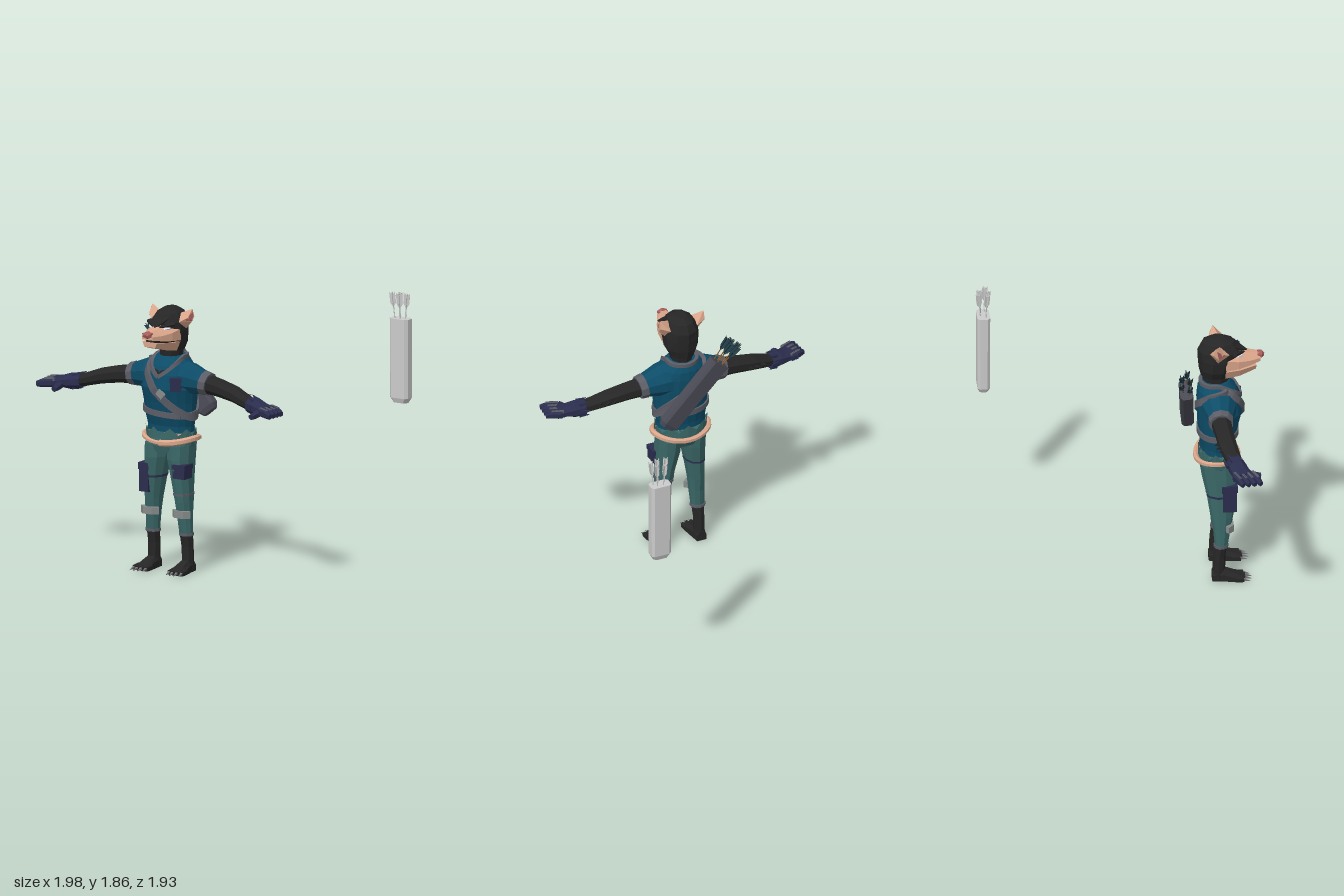
import * as THREE from 'three';

const V = (x, y, z) => new THREE.Vector3(x, y, z);
const C = { shirt: 0x0d4c68, trousers: 0x3b6868, black: 0x262626, navy: 0x2b2d4e, skin: 0xd9a58a,
  grey: 0x5c5d66, nose: 0xa85c5c, white: 0xe8e4f0, wood: 0x8a5c2c, feather: 0x1d3a46, plain: 0xcccccc,
  pad: 0x858a88, quiver: 0x4a4a55, claw: 0x77777a };

function add(parent, name, geo, color) {
  const mat = new THREE.MeshStandardMaterial({ color, flatShading: true, side: THREE.DoubleSide });
  const mesh = new THREE.Mesh(geo, mat);
  mesh.name = name;
  parent.add(mesh);
  return mesh;
}
// Skin a list of equal-sized rings, counter-clockwise about the direction of travel
function loft(rings, { caps = true, closed = false } = {}) {
  const n = rings[0].length, pos = [], m = rings.length;
  const tri = (...p) => p.forEach(q => pos.push(q.x, q.y, q.z));
  for (let k = 0; k < (closed ? m : m - 1); k++) {
    const a = rings[k], b = rings[(k + 1) % m];
    for (let i = 0; i < n; i++) {
      const j = (i + 1) % n;
      tri(a[i], a[j], b[j]);
      tri(a[i], b[j], b[i]);
    }
  }
  if (caps && !closed) for (let i = 1; i < n - 1; i++) {
    tri(rings[0][0], rings[0][i + 1], rings[0][i]);
    tri(rings[m - 1][0], rings[m - 1][i], rings[m - 1][i + 1]);
  }
  const g = new THREE.BufferGeometry();
  g.setAttribute('position', new THREE.Float32BufferAttribute(pos, 3));
  g.computeVertexNormals();
  return g;
}
// Horizontal ellipse rings from rows [y, centreX, halfWidth, centreZ, halfDepth]
const ellipse = (n, [y, cx, w, cz, d]) => Array.from({ length: n }, (_, i) => {
  const a = i / n * Math.PI * 2;
  return V(cx + w * Math.sin(a), y, cz + d * Math.cos(a));
});
const stack = (rows, n = 10) => loft(rows.map(r => ellipse(n, r)));
// Tapered limb along points [x, y, z, sideRadius, verticalRadius]
function limb(pts, n = 8) {
  const p = pts.map(q => V(q[0], q[1], q[2]));
  return loft(pts.map((q, k) => {
    const t = p[Math.min(k + 1, p.length - 1)].clone().sub(p[Math.max(k - 1, 0)]).normalize();
    const u = (Math.abs(t.y) > 0.9 ? V(0, 0, 1) : V(0, 1, 0)).cross(t).normalize(), v = t.clone().cross(u);
    return Array.from({ length: n }, (_, i) => {
      const a = (i + 0.5) / n * Math.PI * 2;
      return p[k].clone().addScaledVector(u, q[3] * Math.cos(a)).addScaledVector(v, (q[4] ?? q[3]) * Math.sin(a));
    });
  }));
}
const spike = (a, b, r) => limb([[...a, r], [...b, 0.001]], 4);
const box = (w, h, d, x, y, z) => new THREE.BoxGeometry(w, h, d).translate(x, y, z);

// Torso rows: y, centreX, halfWidth, centreZ, halfDepth
const TORSO = [[1.03, 0, 0.18, 0.645, 0.115], [1.1, 0, 0.193, 0.65, 0.13], [1.2, 0, 0.2, 0.655, 0.145],
  [1.3, 0, 0.212, 0.665, 0.16], [1.4, 0, 0.2, 0.655, 0.152], [1.46, 0, 0.165, 0.645, 0.135], [1.52, 0, 0.1, 0.635, 0.1]];
function onTorso(a, y) {
  let k = 0;
  while (k < TORSO.length - 2 && y > TORSO[k + 1][0]) k++;
  const A = TORSO[k], B = TORSO[k + 1], f = THREE.MathUtils.clamp((y - A[0]) / (B[0] - A[0]), 0, 1);
  const [, , w, z, d] = A.map((q, i) => q + (B[i] - q) * f);
  return { p: V(w * Math.sin(a), y, z + d * Math.cos(a)), n: V(Math.sin(a) / w, 0, Math.cos(a) / d).normalize() };
}
// Flat band following the torso through [angle, y] points
function band(pts, half, lift = 0.012, count = 40) {
  const path = new THREE.CatmullRomCurve3(pts.map(([a, y]) => V(a, y, 0))).getPoints(count);
  const s = path.map(q => onTorso(q.x, q.y));
  return loft(s.map(({ p, n }, k) => {
    const t = s[Math.min(k + 1, count)].p.clone().sub(s[Math.max(k - 1, 0)].p).normalize();
    const v = t.cross(n).normalize();
    return [[1, -1], [1, 1], [-1, 1], [-1, -1]].map(([i, j]) =>
      p.clone().addScaledVector(n, i * lift).addScaledVector(v, j * half));
  }));
}

function makeQuiver(name, body, shaft, feather) {
  const g = new THREE.Group();
  g.name = name;
  const oct = (y, w, d, c = 0.018) => [[w - c, d], [w, d - c], [w, c - d], [w - c, -d], [c - w, -d], [-w, c - d], [-w, d - c], [c - w, d]]
    .map(([x, z]) => V(x, y, z));
  add(g, 'quiverBody', loft([oct(0, 0.055, 0.03), oct(0.035, 0.073, 0.043), oct(0.595, 0.075, 0.045)]), body);
  // Arrows fanning out of the top
  [[-0.045, 0.015], [-0.02, -0.02], [0.005, 0.02], [0.028, -0.015], [0.05, 0.01]].forEach(([x, z], i) => {
    const arrow = new THREE.Group();
    arrow.name = 'arrow';
    add(arrow, 'arrowShaft', new THREE.CylinderGeometry(0.004, 0.004, 0.2, 5).translate(0, 0.08, 0), shaft);
    const vane = new THREE.Shape([[-0.004, 0.08], [0.004, 0.08], [0.02, 0.11], [0.02, 0.185], [0, 0.165], [-0.02, 0.185], [-0.02, 0.11]]
      .map(([a, b]) => new THREE.Vector2(a, b)));
    for (const r of [0.4, 0.4 + Math.PI / 2])
      add(arrow, 'fletching', new THREE.ExtrudeGeometry(vane, { depth: 0.004, bevelEnabled: false }).translate(0, 0, -0.002).rotateY(r), feather);
    arrow.position.set(x * 0.9, 0.595 - 0.008 * (i % 2), z);
    arrow.rotation.set(z * 4, 0, -x * 2);
    g.add(arrow);
  });
  return g;
}

function makeArm() {
  const g = new THREE.Group();
  add(g, 'sleeve', limb([[0.08, 1.37, 0.65, 0.13, 0.125], [0.16, 1.365, 0.65, 0.12, 0.115], [0.24, 1.355, 0.65, 0.095, 0.092], [0.31, 1.345, 0.65, 0.078, 0.076]], 10), C.shirt);
  add(g, 'sleeveCuff', limb([[0.275, 1.35, 0.65, 0.09, 0.088], [0.325, 1.343, 0.65, 0.084, 0.08]], 10), C.grey);
  add(g, 'arm', limb([[0.3, 1.345, 0.65, 0.072, 0.068], [0.42, 1.33, 0.66, 0.066, 0.062], [0.55, 1.305, 0.675, 0.065, 0.056], [0.66, 1.272, 0.7, 0.058, 0.047], [0.76, 1.25, 0.725, 0.05, 0.04]]), C.black);
  for (const [x, z] of [[0.5, 0.615], [0.55, 0.62], [0.6, 0.635]])
    add(g, 'elbowTuft', spike([x, 1.3, z + 0.01], [x + 0.04, 1.3, z - 0.03], 0.016), C.black);
  // Gauntlet with a ragged cuff
  add(g, 'gauntlet', limb([[0.7, 1.255, 0.71, 0.06, 0.055], [0.77, 1.25, 0.725, 0.066, 0.058], [0.83, 1.245, 0.742, 0.068, 0.042], [0.89, 1.24, 0.762, 0.088, 0.036]]), C.navy);
  for (let i = 0; i < 6; i++) {
    const a = i / 6 * Math.PI * 2, c = Math.cos(a), s = Math.sin(a);
    add(g, 'gauntletSpike', spike([0.75, 1.25 + 0.045 * s, 0.72 + 0.055 * c], [0.685, 1.265 + 0.06 * s, 0.695 + 0.065 * c], 0.02), C.navy);
  }
  for (let i = 0; i < 4; i++) {
    const x = 0.875 - i * 0.004, z = 0.7 + i * 0.041, y = 1.243;
    add(g, 'finger', limb([[x, y, z, 0.025, 0.032], [x + 0.06, y - 0.002, z + 0.027, 0.025, 0.032], [x + 0.105, y - 0.012, z + 0.048, 0.016, 0.02]], 6), C.navy);
    add(g, 'fingerPlate', limb([[x - 0.01, y + 0.024, z - 0.004, 0.011, 0.012], [x + 0.07, y + 0.02, z + 0.032, 0.011, 0.012]], 4), C.grey);
  }
  add(g, 'thumb', limb([[0.83, 1.235, 0.77, 0.035, 0.032], [0.82, 1.22, 0.83, 0.028, 0.028], [0.815, 1.212, 0.88, 0.022, 0.02]], 6), C.navy);
  return g;
}

function makeLeg() {
  const g = new THREE.Group();
  add(g, 'trouserLeg', stack([[0.27, 0.137, 0.05, 0.665, 0.046], [0.4, 0.13, 0.056, 0.67, 0.062], [0.5, 0.125, 0.06, 0.67, 0.08],
    [0.65, 0.111, 0.072, 0.668, 0.1], [0.8, 0.095, 0.088, 0.66, 0.125], [0.9, 0.092, 0.09, 0.65, 0.132]]), C.trousers);
  add(g, 'shinBand', stack([[0.258, 0.137, 0.055, 0.663, 0.052], [0.278, 0.137, 0.055, 0.663, 0.052]]), C.grey);
  add(g, 'boot', stack([[0.01, 0.14, 0.045, 0.645, 0.045], [0.08, 0.14, 0.041, 0.647, 0.045], [0.18, 0.138, 0.042, 0.65, 0.044], [0.27, 0.136, 0.048, 0.662, 0.045]], 8), C.black);
  add(g, 'kneePad', limb([[0.07, 0.415, 0.7, 0.03, 0.035], [0.1, 0.415, 0.73, 0.03, 0.037], [0.16, 0.415, 0.73, 0.03, 0.037], [0.188, 0.415, 0.7, 0.03, 0.035]], 4), C.pad);
  const foot = [[0.6, 0.14, 0.035, 0.07], [0.68, 0.14, 0.045, 0.085], [0.77, 0.145, 0.06, 0.05], [0.82, 0.145, 0.062, 0.03]];
  add(g, 'foot', loft(foot.map(([z, x, w, h]) => [[w, 0], [w, h * 0.6], [w * 0.5, h], [-w * 0.5, h], [-w, h * 0.6], [-w, 0]]
    .map(([a, y]) => V(x + a, y, z)))), C.black);
  for (let i = 0; i < 4; i++) {
    const x = 0.095 + i * 0.034, z = 0.825 - Math.abs(i - 1.4) * 0.012;
    add(g, 'toe', limb([[x, 0.022, z - 0.05, 0.018, 0.02], [x, 0.018, z + 0.01, 0.015, 0.017]], 6), C.black);
    add(g, 'claw', spike([x, 0.02, z], [x + 0.004, 0.006, z + 0.055], 0.013), C.claw);
  }
  return g;
}

function makeHead() {
  const g = new THREE.Group();
  g.name = 'head';
  add(g, 'neck', stack([[1.42, 0, 0.09, 0.645, 0.1], [1.52, 0, 0.078, 0.64, 0.09], [1.6, 0, 0.09, 0.635, 0.1]]), C.black);
  add(g, 'hood', stack([[1.56, 0, 0.088, 0.635, 0.1], [1.62, 0, 0.118, 0.645, 0.125], [1.7, 0, 0.127, 0.655, 0.142],
    [1.765, 0, 0.122, 0.662, 0.152], [1.825, 0, 0.09, 0.655, 0.115], [1.858, 0, 0.04, 0.65, 0.05]]), C.black);
  // Muzzle rows: z, halfWidth, lower y, shoulder y, top y
  const upper = [[0.7, 0.115, 1.64, 1.72, 1.765], [0.79, 0.105, 1.648, 1.705, 1.755], [0.87, 0.075, 1.658, 1.695, 1.735], [0.945, 0.042, 1.672, 1.695, 1.725]];
  add(g, 'upperMuzzle', loft(upper.map(([z, w, b, m, t]) =>
    [[w, b], [w, m], [w * 0.35, t], [-w * 0.35, t], [-w, m], [-w, b]].map(([x, y]) => V(x, y, z)))), C.skin);
  const jaw = (rows) => loft(rows.map(([z, w, b, t]) => [[w * 0.75, b], [w, t], [-w, t], [-w * 0.75, b]].map(([x, y]) => V(x, y, z))));
  add(g, 'lowerJaw', jaw([[0.7, 0.112, 1.565, 1.63], [0.8, 0.1, 1.58, 1.636], [0.915, 0.06, 1.615, 1.65]]), C.skin);
  add(g, 'mouth', jaw([[0.7, 0.105, 1.6, 1.66], [0.8, 0.092, 1.61, 1.666], [0.905, 0.045, 1.64, 1.68]]), C.black);
  add(g, 'nose', limb([[0, 1.708, 0.925, 0.038, 0.024], [0, 1.706, 0.955, 0.04, 0.026], [0, 1.7, 0.97, 0.018, 0.014]], 6), C.nose);
  add(g, 'foreheadPeak', limb([[0, 1.79, 0.76, 0.07, 0.025], [0, 1.765, 0.81, 0.04, 0.014], [0, 1.745, 0.855, 0.004, 0.004]], 6), C.black);
  for (const s of [1, -1]) {
    add(g, 'eye', limb([[s * 0.032, 1.722, 0.818, 0.012, 0.009], [s * 0.058, 1.73, 0.808, 0.013, 0.014], [s * 0.088, 1.737, 0.785, 0.006, 0.006]], 5), C.white);
    add(g, 'brow', limb([[s * 0.02, 1.742, 0.83, 0.012, 0.008], [s * 0.1, 1.765, 0.76, 0.025, 0.016]], 5), C.black);
    // Pointed ear with a coloured inner face
    const rim = [V(0.09, 1.825, 0.66), V(0.115, 1.77, 0.725), V(0.125, 1.715, 0.645), V(0.1, 1.775, 0.59)];
    const out = [V(0.165, 1.855, 0.63), V(0.16, 1.8, 0.68), V(0.168, 1.765, 0.645), V(0.168, 1.8, 0.61)];
    const flip = r => r.map(p => V(p.x * s, p.y, p.z));
    add(g, 'ear', loft([flip(rim), flip(out)]), C.skin);
    add(g, 'innerEar', loft([flip([V(0.171, 1.835, 0.635), V(0.146, 1.785, 0.694), V(0.174, 1.772, 0.645)]),
      flip([V(0.174, 1.832, 0.635), V(0.15, 1.787, 0.694), V(0.176, 1.775, 0.645)])]), C.nose);
  }
  return g;
}

export function createModel() {
  const model = new THREE.Group();
  // Shirt over trousers, both with ragged edges
  const hem = ellipse(18, [0.99, 0, 0.18, 0.645, 0.115]);
  add(model, 'shirt', loft([hem, ...TORSO.map(r => ellipse(18, r))]), C.shirt);
  const waist = ellipse(18, [1, 0, 0.196, 0.645, 0.128]).map((p, i) => p.setY(i % 2 ? 1.02 : 0.97));
  add(model, 'trouserWaist', loft([ellipse(18, [0.84, 0, 0.14, 0.655, 0.115]), ellipse(18, [0.89, 0, 0.182, 0.65, 0.134]),
    ellipse(18, [0.94, 0, 0.188, 0.645, 0.13]), waist], { caps: false }), C.trousers);
  // Tail wound round the hips as a belt
  const tail = Array.from({ length: 33 }, (_, i) => {
    const a = i / 32 * Math.PI * 2, r = 0.024 - 0.008 * i / 32;
    return [0.205 * Math.sin(a), 0.915 + 0.035 * Math.sin(a) ** 2, 0.645 + 0.145 * Math.cos(a), r, r];
  });
  add(model, 'tailBelt', limb(tail, 6), C.skin);

  // Neckline, collar and straps
  const neckline = [1.39, 1.43, 1.47, 1.51].map((y, k) => [0.01, 0.32, 0.65, 1.1].map((a, i, all) => all[k]).slice(0, 2)
    .map((a, i) => onTorso(i ? a : -a, y)).flatMap(({ p, n }, i) => [i ? 1 : -1, i ? -1 : 1].map(f => p.clone().addScaledVector(n, f * 0.006))));
  add(model, 'neckline', loft(neckline), C.black);
  for (const s of [1, -1])
    add(model, 'collar', band([[0, 1.385], [s * 0.32, 1.43], [s * 0.65, 1.47], [s * 1.3, 1.51], [s * 2.2, 1.512], [s * Math.PI, 1.51]], 0.013), C.grey);
  add(model, 'chestStrap', band([[-1.0, 1.48], [-0.5, 1.39], [0, 1.27], [0.7, 1.15], [1.57, 1.1], [2.3, 1.19], [3.14, 1.32], [4.1, 1.44], [5.28, 1.48]], 0.025, 0.014, 56), C.grey);
  add(model, 'waistStrap', band([[0.8, 1.11], [2.2, 1.13], [3.6, 1.13], [4.8, 1.14], [5.9, 1.125], [7.08, 1.11]], 0.02), C.grey);
  add(model, 'strapBuckle', new THREE.BoxGeometry(0.06, 0.045, 0.02).rotateZ(-0.7).translate(0.03, 1.27, 0.825), C.pad);
  add(model, 'chestPocket', new THREE.BoxGeometry(0.075, 0.09, 0.03).rotateY(0.5).translate(0.13, 1.34, 0.785), C.navy);
  add(model, 'chestPocketFlap', new THREE.BoxGeometry(0.082, 0.03, 0.036).rotateY(0.5).translate(0.13, 1.375, 0.786), C.navy);

  // Limbs, mirrored
  for (const [side, s] of [['left', 1], ['right', -1]]) {
    const arm = makeArm(), leg = makeLeg();
    arm.name = side + 'Arm';
    leg.name = side + 'Leg';
    arm.scale.x = leg.scale.x = s;
    model.add(arm, leg);
  }
  // Thigh pouches and straps
  add(model, 'leftPouch', box(0.095, 0.075, 0.1, 0.145, 0.71, 0.725), C.navy);
  add(model, 'leftPouchFlap', box(0.105, 0.035, 0.112, 0.145, 0.755, 0.725), C.navy);
  add(model, 'rightPouch', box(0.075, 0.17, 0.1, -0.145, 0.635, 0.722), C.navy);
  add(model, 'rightPouchFlap', box(0.085, 0.05, 0.11, -0.145, 0.73, 0.722), C.navy);
  add(model, 'leftThighStrap', stack([[0.545, 0.12, 0.069, 0.669, 0.091], [0.56, 0.12, 0.069, 0.669, 0.091]]), C.grey);
  add(model, 'rightThighStrap', stack([[0.655, -0.11, 0.076, 0.668, 0.104], [0.67, -0.11, 0.076, 0.668, 0.104]]), C.navy);

  model.add(makeHead());

  // Quiver worn on the back and a plain spare one standing apart
  const worn = makeQuiver('backQuiver', C.quiver, C.wood, C.feather);
  worn.position.set(0.2, 1.1, 0.455);
  worn.rotation.set(-0.085, 0, 0.707);
  const spare = makeQuiver('spareQuiver', C.plain, C.plain, C.plain);
  spare.position.set(0.88, 1.0, -0.9);
  model.add(worn, spare);
  return model;
}
